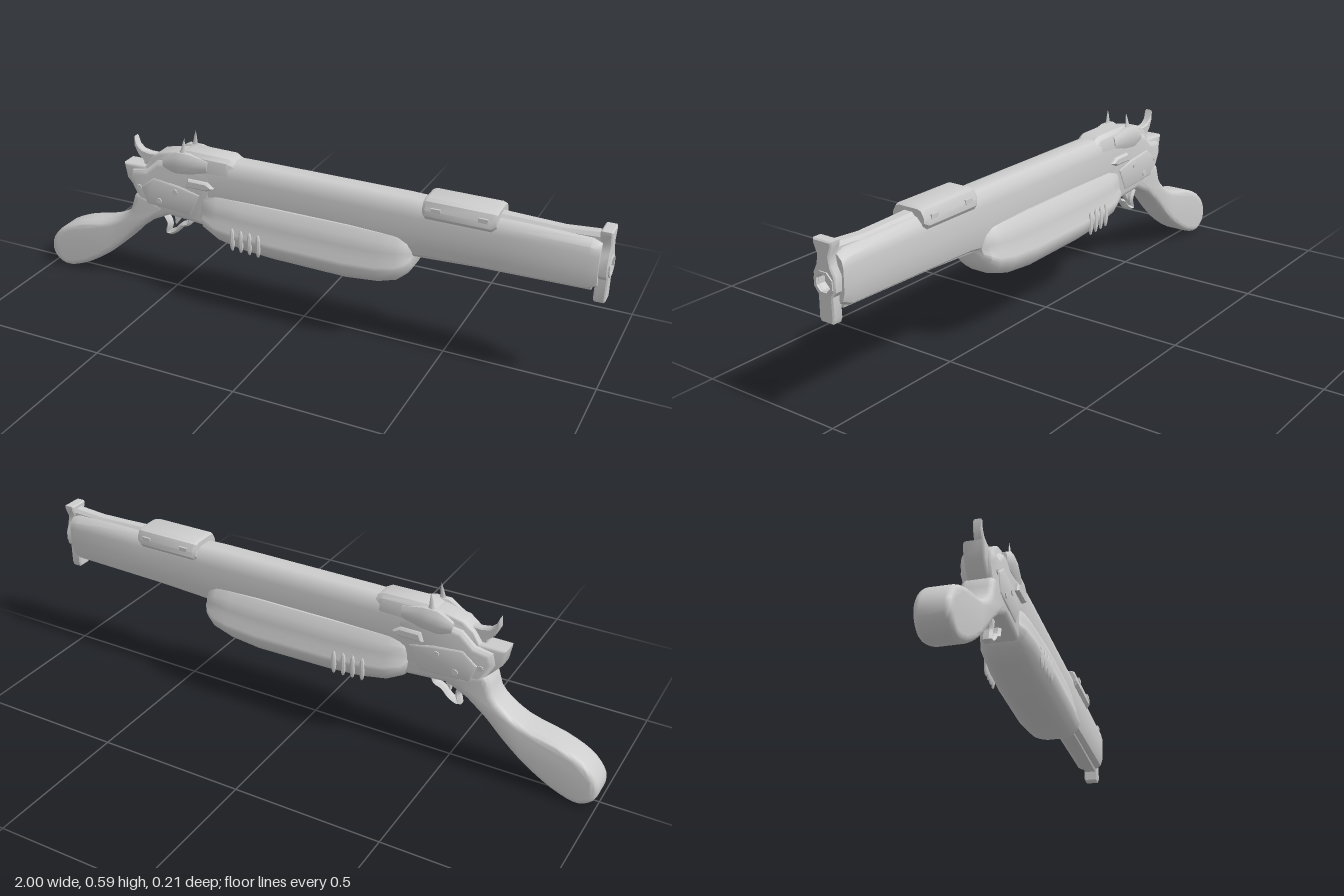
import * as THREE from 'three';
import { toCreasedNormals } from 'three/addons/utils/BufferGeometryUtils.js';

const metal = new THREE.MeshStandardMaterial({ color: 0xcccccc });
metal.name = 'light grey metal';

export function createModel() {
  const model = new THREE.Group();
  model.name = 'prop';

  function add(name, geometry, crease = 0.6) {
    const mesh = new THREE.Mesh(toCreasedNormals(geometry, crease), metal);
    mesh.name = name;
    model.add(mesh);
    return mesh;
  }

  // Side outline (x, y) extruded across z with rounded rims
  function slab(pts, halfWidth, bevel, z = 0, segments = 3, hole = null) {
    const vectors = (list) => list.map((p) => new THREE.Vector2(p[0], p[1]));
    const shape = new THREE.Shape(vectors(pts));
    if (hole) shape.holes.push(new THREE.Path(vectors(hole)));
    const g = new THREE.ExtrudeGeometry(shape, {
      depth: 2 * (halfWidth - bevel), bevelEnabled: bevel > 0, bevelSize: bevel,
      bevelThickness: bevel, bevelOffset: -bevel, bevelSegments: segments,
    });
    return g.translate(0, 0, z - halfWidth + bevel);
  }

  // Half profile [z 0..1, y 0..1] mirrored and swept through stations [x, halfWidth, yLow, yHigh]
  function loft(half, stations) {
    const loop = [...half, ...half.map(([z, y]) => [-z, y]).reverse()];
    const n = loop.length;
    const rings = stations.map(([x, w, lo, hi]) => loop.map(([z, y]) => [x, lo + y * (hi - lo), z * w]));
    const out = [];
    for (let i = 0; i + 1 < rings.length; i++) {
      for (let j = 0; j < n; j++) {
        const k = (j + 1) % n, a = rings[i], b = rings[i + 1];
        out.push(...a[j], ...b[j], ...b[k], ...a[j], ...b[k], ...a[k]);
      }
    }
    [rings[0], rings[rings.length - 1]].forEach((r, end) => {
      const s = stations[end ? stations.length - 1 : 0];
      const mid = [s[0], (s[2] + s[3]) / 2, 0];
      for (let j = 0; j < n; j++) {
        const k = (j + 1) % n;
        out.push(...mid, ...(end ? r[k] : r[j]), ...(end ? r[j] : r[k]));
      }
    });
    const g = new THREE.BufferGeometry();
    g.setAttribute('position', new THREE.Float32BufferAttribute(out, 3));
    return g;
  }

  // Barrel housing, running right up to the muzzle plate
  const barrelProfile = [[0.55, 0], [0.82, 0.06], [0.97, 0.22], [1, 0.45], [1, 0.74], [0.9, 0.88], [0.6, 0.98], [0.4, 1]];
  add('barrel', loft(barrelProfile, [
    [-0.45, 0.05, 0.34, 0.53], [-0.2, 0.053, 0.34, 0.533], [0.36, 0.054, 0.335, 0.533],
    [0.44, 0.054, 0.345, 0.53], [0.66, 0.055, 0.352, 0.527], [0.94, 0.055, 0.358, 0.522], [0.968, 0.047, 0.37, 0.512],
  ]));
  add('breechCover', loft([[0.9, 0], [1, 0.4], [0.85, 0.85], [0.6, 1]], [
    [-0.45, 0.045, 0.46, 0.53], [-0.41, 0.052, 0.46, 0.545], [-0.26, 0.052, 0.46, 0.543], [-0.235, 0.046, 0.46, 0.53],
  ]));
  add('topRib', loft([[1, 0], [1, 0.7], [0.6, 1]], [
    [0.64, 0.025, 0.5, 0.537], [0.75, 0.022, 0.5, 0.534], [0.85, 0.022, 0.5, 0.531], [0.965, 0.022, 0.5, 0.54],
  ]));
  add('underRib', loft([[0.7, 0], [1, 0.4], [1, 1]], [
    [0.38, 0.036, 0.335, 0.4], [0.6, 0.034, 0.345, 0.4], [0.95, 0.028, 0.35, 0.4],
  ]));

  // Sight block clamped over the barrel
  add('sightBlock', loft([[0.85, 0], [1, 0.2], [1, 0.5], [0.82, 0.9], [0.6, 1]], [
    [0.425, 0.058, 0.498, 0.548], [0.435, 0.064, 0.488, 0.553], [0.645, 0.064, 0.488, 0.553], [0.66, 0.058, 0.5, 0.548],
  ]));
  for (const s of [-1, 1]) {
    for (const x of [0.47, 0.62]) {
      const clamp = add('sightClamp', new THREE.BoxGeometry(0.03, 0.014, 0.008));
      clamp.position.set(x, 0.524, s * 0.062);
    }
  }

  // Muzzle plate with upper and lower lugs and an eight-sided bore
  const plateHalf = [[0.022, 0.316], [0.027, 0.33], [0.026, 0.395], [0.038, 0.41], [0.04, 0.455], [0.027, 0.48],
    [0.022, 0.51], [0.034, 0.54], [0.034, 0.553]];
  const plate = [...plateHalf, ...plateHalf.map(([z, y]) => [-z, y]).reverse()];
  const octagon = (r) => Array.from({ length: 8 }, (_, i) => {
    const a = -(i + 0.5) * Math.PI / 4;
    return [Math.cos(a) * r, 0.432 + Math.sin(a) * r];
  });
  add('muzzlePlate', slab(plate, 0.018, 0.004, 0, 1, octagon(0.026)).rotateY(Math.PI / 2).translate(0.977, 0, 0));
  add('muzzleRing', slab(octagon(0.036).reverse(), 0.005, 0, 0, 1, octagon(0.027)).rotateY(Math.PI / 2).translate(0.994, 0, 0));

  // Swollen fore-end with a side ridge
  const foreProfile = [[0.35, 0], [0.65, 0.04], [0.88, 0.16], [1, 0.32], [0.99, 0.4], [0.88, 0.52],
    [0.87, 0.68], [0.78, 0.86], [0.6, 1]];
  add('foreEnd', loft(foreProfile, [
    [-0.36, 0.055, 0.3, 0.39], [-0.345, 0.074, 0.275, 0.402], [-0.29, 0.088, 0.248, 0.408], [-0.2, 0.094, 0.232, 0.41],
    [-0.08, 0.1, 0.226, 0.412], [0.18, 0.1, 0.222, 0.412], [0.29, 0.094, 0.232, 0.408], [0.35, 0.087, 0.25, 0.405],
    [0.38, 0.074, 0.275, 0.398], [0.395, 0.055, 0.3, 0.38],
  ]), 0.7);
  for (const s of [-1, 1]) {
    // Low vertical grip ribs
    for (let i = 0; i < 4; i++) {
      const rib = add('gripRib', new THREE.SphereGeometry(1, 8, 6).scale(0.01, 0.042, 0.008));
      rib.position.set(-0.22 + i * 0.033, 0.285, s * (0.09 + i * 0.002));
    }
  }

  // Receiver, with a narrower upper shoulder
  add('receiver', slab([[-0.612, 0.345], [-0.64, 0.29], [-0.56, 0.262], [-0.49, 0.297], [-0.42, 0.292], [-0.33, 0.285],
    [-0.31, 0.48], [-0.4, 0.51], [-0.53, 0.49], [-0.575, 0.45], [-0.63, 0.44], [-0.64, 0.4]], 0.052, 0.018), 0.8);
  add('receiverShoulder', slab([[-0.66, 0.4], [-0.615, 0.35], [-0.35, 0.36], [-0.35, 0.535], [-0.446, 0.535],
    [-0.527, 0.518], [-0.562, 0.49], [-0.585, 0.456], [-0.67, 0.455]], 0.034, 0.01), 0.8);

  for (const s of [-1, 1]) {
    // Side plates, pins and bolt cover
    add('sidePlate', slab([[-0.57, 0.33], [-0.4, 0.32], [-0.36, 0.4], [-0.44, 0.42], [-0.54, 0.43], [-0.59, 0.39]],
      0.006, 0.005, s * 0.05, 2), 1);
    add('boltCover', slab([[-0.41, 0.425], [-0.33, 0.425], [-0.305, 0.438], [-0.33, 0.455], [-0.4, 0.455]],
      0.012, 0.006, s * 0.053, 1));
    for (const [x, y] of [[-0.52, 0.35], [-0.455, 0.395], [-0.6, 0.385]]) {
      const pin = add('pin', new THREE.CylinderGeometry(0.01, 0.012, 0.01, 8).rotateX(s * Math.PI / 2));
      pin.position.set(x, y, s * (x < -0.58 ? 0.05 : 0.054));
    }
    // Pointed ear and the cheek beneath it
    add('earCheek', loft([[0.5, 0], [1, 0.4], [0.8, 0.8], [0.4, 1]], [
      [-0.5, 0.012, 0.47, 0.51], [-0.45, 0.024, 0.465, 0.54], [-0.4, 0.022, 0.47, 0.54], [-0.33, 0.012, 0.48, 0.525],
    ]).translate(0, 0, s * 0.042), 0.8);
    const ear = new THREE.ConeGeometry(1, 0.08, 8, 4);
    const p = ear.attributes.position;
    for (let i = 0; i < p.count; i++) {
      const t = p.getY(i) / 0.08 + 0.5, thin = 1 - 0.45 * Math.sin(t * Math.PI);
      p.setXYZ(i, -0.43 + t * 0.01 + p.getX(i) * 0.03 * thin, 0.51 + t * 0.08,
        s * (0.043 - 0.006 * t) + p.getZ(i) * 0.016 * thin);
    }
    add('ear', ear, 0.9);
  }

  // Curved hammer spur
  add('hammer', slab([[-0.56, 0.47], [-0.55, 0.5], [-0.578, 0.5], [-0.605, 0.505], [-0.622, 0.52], [-0.634, 0.55],
    [-0.636, 0.515], [-0.622, 0.485], [-0.6, 0.465], [-0.6, 0.44], [-0.56, 0.44]], 0.014, 0.004, 0, 1));

  // Sloping rounded grip
  const gripCurve = new THREE.CatmullRomCurve3([[-0.615, 0.36], [-0.65, 0.285], [-0.735, 0.224], [-0.874, 0.186],
    [-0.96, 0.142], [-1, 0.085], [-0.995, 0.034], [-0.95, 0.001], [-0.874, 0.018], [-0.767, 0.08],
    [-0.687, 0.147], [-0.623, 0.211], [-0.555, 0.266], [-0.5, 0.32]].map(([x, y]) => new THREE.Vector3(x, y, 0)), true);
  add('grip', slab(gripCurve.getPoints(48).slice(0, -1).map((p) => [p.x, Math.max(p.y, 0)]), 0.053, 0.02, 0, 4), 0.8);

  // Trigger guard loop and trigger
  const guard = new THREE.CatmullRomCurve3([[-0.54, 0.29], [-0.515, 0.245], [-0.522, 0.21], [-0.49, 0.222],
    [-0.462, 0.25], [-0.435, 0.262], [-0.425, 0.3]].map(([x, y]) => new THREE.Vector3(x, y, 0)));
  add('triggerGuard', new THREE.TubeGeometry(guard, 24, 0.009, 6).scale(1, 1, 1.9));
  add('trigger', slab([[-0.495, 0.3], [-0.465, 0.3], [-0.475, 0.265], [-0.49, 0.245], [-0.492, 0.27]], 0.009, 0.003, 0, 1));

  return model;
}
